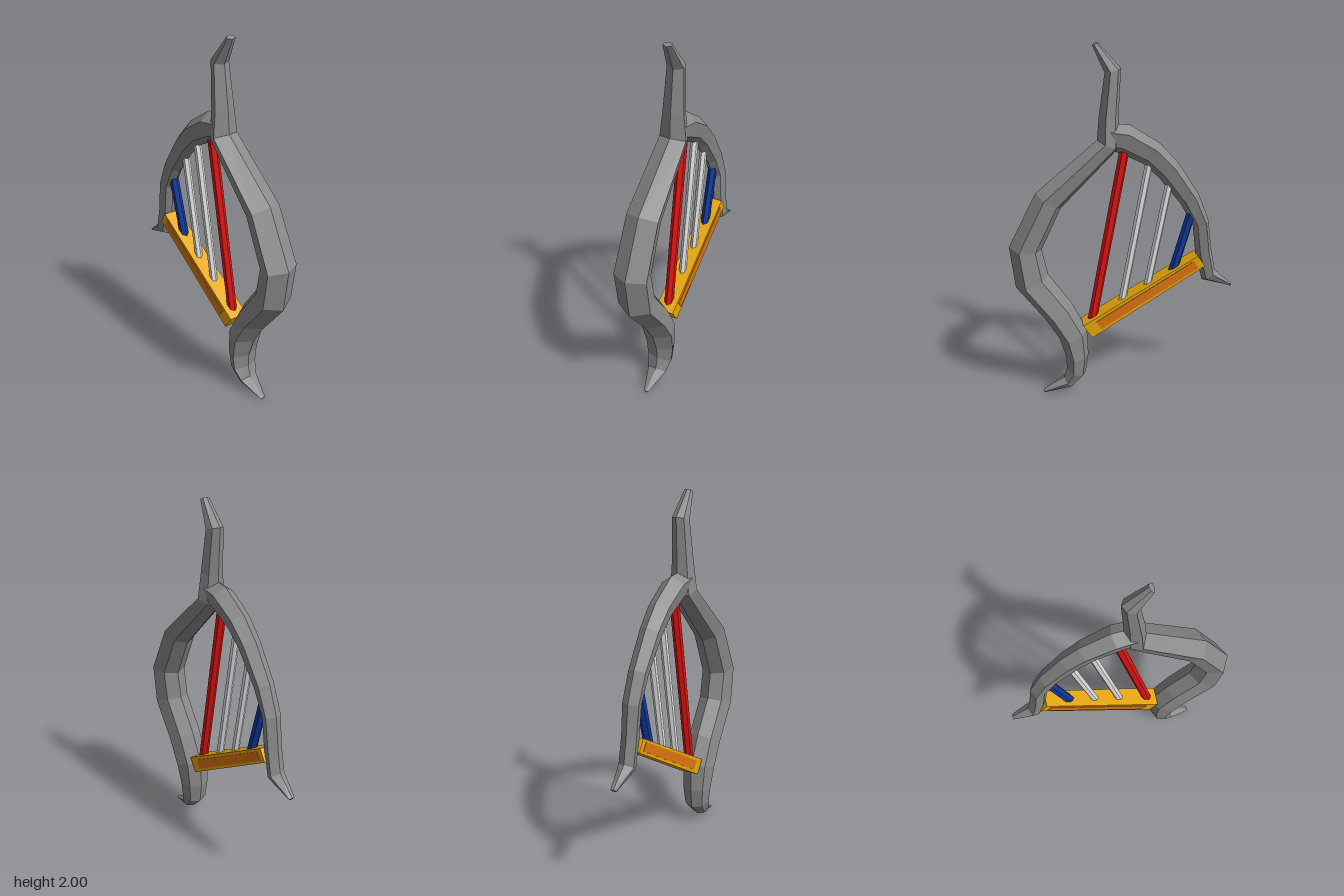
import * as THREE from 'three';

const material = (name, color) => {
  const m = new THREE.MeshStandardMaterial({ color });
  m.name = name;
  return m;
};

// The harp lies in an upright plane turned a little about y; p is the offset across that plane.
const place = (z, y, p) => [0.32 * z - 0.035 + 0.95 * p, y, z - 0.31 * p];

// Cross-sections as [outward, across] pairs, scaled by half depth and half width.
const ridged = [[1, 0], [0.45, 1], [-0.55, 0.75], [-1, 0], [-0.55, -0.75], [0.45, -1]];
const hexagon = [0, 1, 2, 3, 4, 5].map(i => [Math.cos(i * Math.PI / 3), Math.sin(i * Math.PI / 3)]);
const rect = (lo, hi) => [[1, lo], [1, hi], [-1, hi], [-1, lo]];

// Sweeps a section along stations [z, y, halfDepth, halfWidth] with faceted sides and closed ends.
function sweep(name, mat, section, path) {
  const rings = path.map(([z, y, h, w], i) => {
    const a = path[Math.max(i - 1, 0)], b = path[Math.min(i + 1, path.length - 1)];
    const unit = (s, e) => new THREE.Vector2(e[0] - s[0], e[1] - s[1]).normalize();
    const t = new THREE.Vector2();
    if (i > 0) t.add(unit(a, path[i]));
    if (i < path.length - 1) t.add(unit(path[i], b));
    t.normalize();
    return section.map(([n, p]) => place(z + t.y * n * h, y - t.x * n * h, p * w));
  });
  const pos = [], count = section.length;
  const tri = (a, b, c) => pos.push(...a, ...b, ...c);
  for (let i = 0; i < rings.length - 1; i++) {
    for (let j = 0; j < count; j++) {
      const k = (j + 1) % count, r = rings[i], s = rings[i + 1];
      tri(r[j], r[k], s[k]);
      tri(r[j], s[k], s[j]);
    }
  }
  const first = rings[0], last = rings[rings.length - 1];
  for (let j = 1; j < count - 1; j++) {
    tri(first[0], first[j + 1], first[j]);
    tri(last[0], last[j], last[j + 1]);
  }
  const geo = new THREE.BufferGeometry();
  geo.setAttribute('position', new THREE.Float32BufferAttribute(pos, 3));
  geo.computeVertexNormals();
  const mesh = new THREE.Mesh(geo, mat);
  mesh.name = name;
  return mesh;
}

export function createModel() {
  const harp = new THREE.Group();
  harp.name = 'harp';
  const grey = material('frame grey', 0x8a8a8a);
  const yellow = material('soundboard yellow', 0xe8a80c);
  const orange = material('panel orange', 0xdc7410);
  const red = material('string red', 0xe01414);
  const white = material('string white', 0xe4e4e4);
  const blue = material('string blue', 0x10389c);

  // Curled foot, bowed pillar and the horn above it
  harp.add(sweep('pillar', grey, ridged, [
    [0.455, 0.008, 0.006, 0.015],
    [0.32, 0.06, 0.035, 0.055],
    [0.272, 0.13, 0.055, 0.075],
    [0.265, 0.23, 0.062, 0.085],
    [0.285, 0.37, 0.08, 0.095],
    [0.36, 0.52, 0.085, 0.095],
    [0.495, 0.72, 0.092, 0.095],
    [0.522, 0.915, 0.085, 0.095],
    [0.395, 1.18, 0.078, 0.09],
    [0.085, 1.475, 0.06, 0.075],
    [0.08, 1.62, 0.05, 0.06],
    [0.058, 1.86, 0.042, 0.046],
    [0.145, 1.995, 0.015, 0.025],
  ]));

  // Arched neck ending in a pointed tail
  harp.add(sweep('neck', grey, ridged, [
    [0.1, 1.52, 0.07, 0.06],
    [0, 1.5, 0.08, 0.065],
    [-0.14, 1.415, 0.07, 0.06],
    [-0.23, 1.32, 0.065, 0.055],
    [-0.35, 1.145, 0.055, 0.05],
    [-0.415, 1.0, 0.045, 0.048],
    [-0.435, 0.83, 0.045, 0.045],
    [-0.468, 0.68, 0.045, 0.045],
    [-0.597, 0.607, 0.008, 0.018],
  ]));

  // Sloping soundboard with an inlaid panel on each side
  harp.add(sweep('soundboard', yellow, rect(-1, 1), [
    [0.21, 0.4, 0.046, 0.055],
    [-0.415, 0.785, 0.038, 0.047],
  ]));
  for (const side of [1, -1]) {
    const section = side > 0 ? rect(0.92, 1.06) : rect(-1.06, -0.92);
    harp.add(sweep(side > 0 ? 'leftPanel' : 'rightPanel', orange, section, [
      [0.15, 0.437, 0.027, 0.0543],
      [-0.385, 0.767, 0.025, 0.0474],
    ]));
  }

  // Strings from soundboard to neck
  const strings = [
    ['redString', red, 0.18, 0.44, 0.0, 1.44, 0.026],
    ['longWhiteString', white, 0.015, 0.54, -0.13, 1.37, 0.021],
    ['shortWhiteString', white, -0.125, 0.63, -0.24, 1.26, 0.021],
    ['blueString', blue, -0.265, 0.71, -0.365, 1.08, 0.026],
  ];
  for (const [name, mat, z0, y0, z1, y1, r] of strings) {
    harp.add(sweep(name, mat, hexagon, [[z0, y0, r, r], [z1, y1, r, r]]));
  }
  return harp;
}
